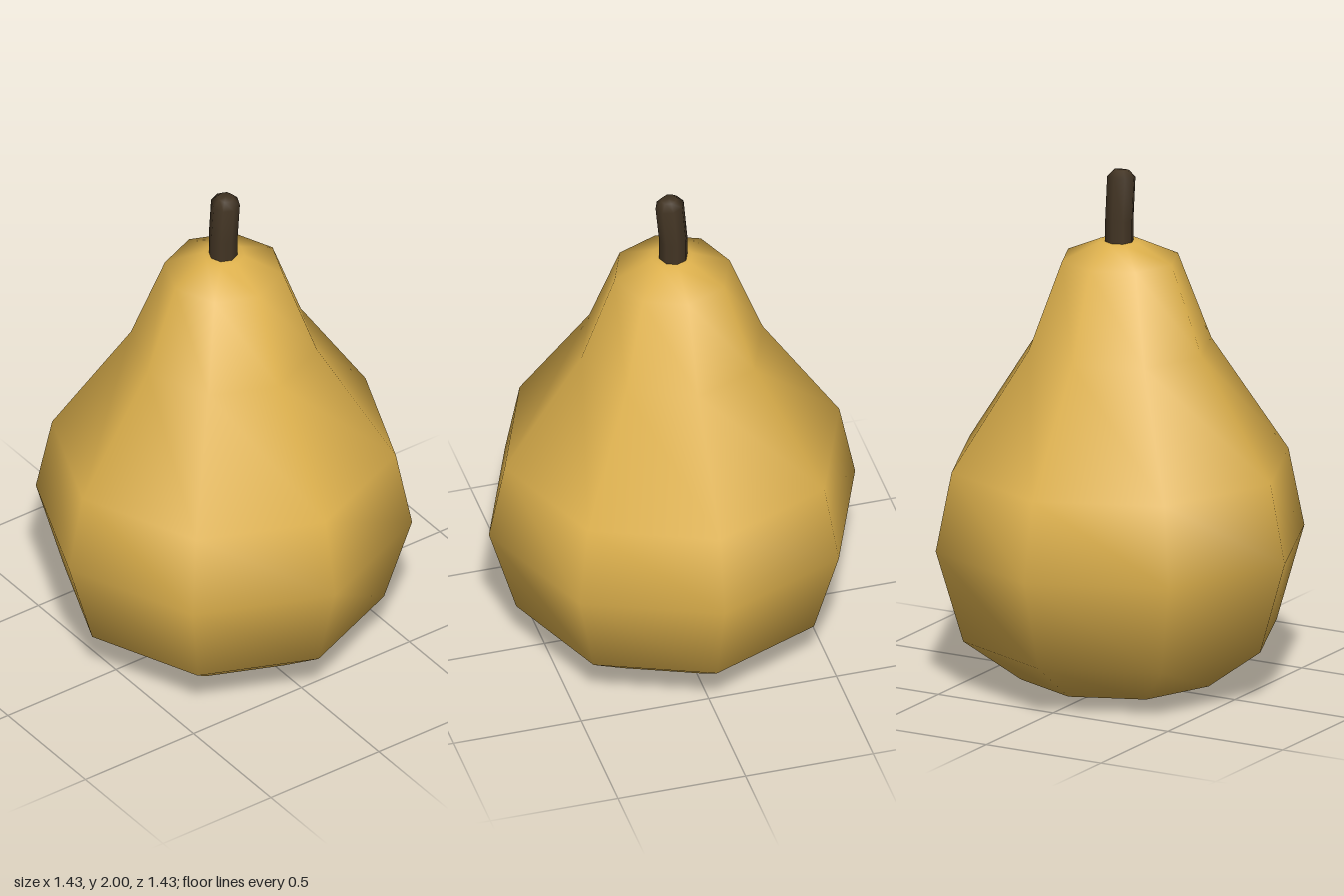
import * as THREE from 'three';

const skin = new THREE.MeshStandardMaterial({ color: 0xdfb24d });
skin.name = 'golden skin';
const bark = new THREE.MeshStandardMaterial({ color: 0x433524 });
bark.name = 'dark brown stem';

// Eight-sided turned shape from [radius, height] pairs, bottom to top
function turned(name, profile, material) {
  const points = profile.map(([r, y]) => new THREE.Vector2(r, y));
  const mesh = new THREE.Mesh(new THREE.LatheGeometry(points, 8), material);
  mesh.name = name;
  return mesh;
}

export function createModel() {
  const model = new THREE.Group();
  model.name = 'pear';

  // Fruit body: wide belly, narrow neck, small flat ends
  model.add(turned('body', [
    [0, 0], [0.22, 0.005], [0.385, 0.035], [0.61, 0.2], [0.717, 0.56],
    [0.655, 0.865], [0.355, 1.32], [0.225, 1.66], [0.08, 1.725], [0, 1.727],
  ], skin));

  // Stem: straight at the base, then leaning to +x with a tilted, bevelled tip
  const stem = turned('stem', [
    [0.055, 1.68], [0.055, 1.81], [0.055, 1.972], [0.03, 1.998], [0, 2],
  ], bark);
  const pos = stem.geometry.attributes.position;
  for (let i = 0; i < pos.count; i++) {
    const x = pos.getX(i), y = pos.getY(i);
    const lean = Math.max(0, y - 1.81) / 0.19;
    pos.setX(i, x - 0.005 + 0.017 * lean);
    pos.setY(i, Math.min(2, y - 0.16 * x * lean));
  }
  model.add(stem);

  return model;
}
